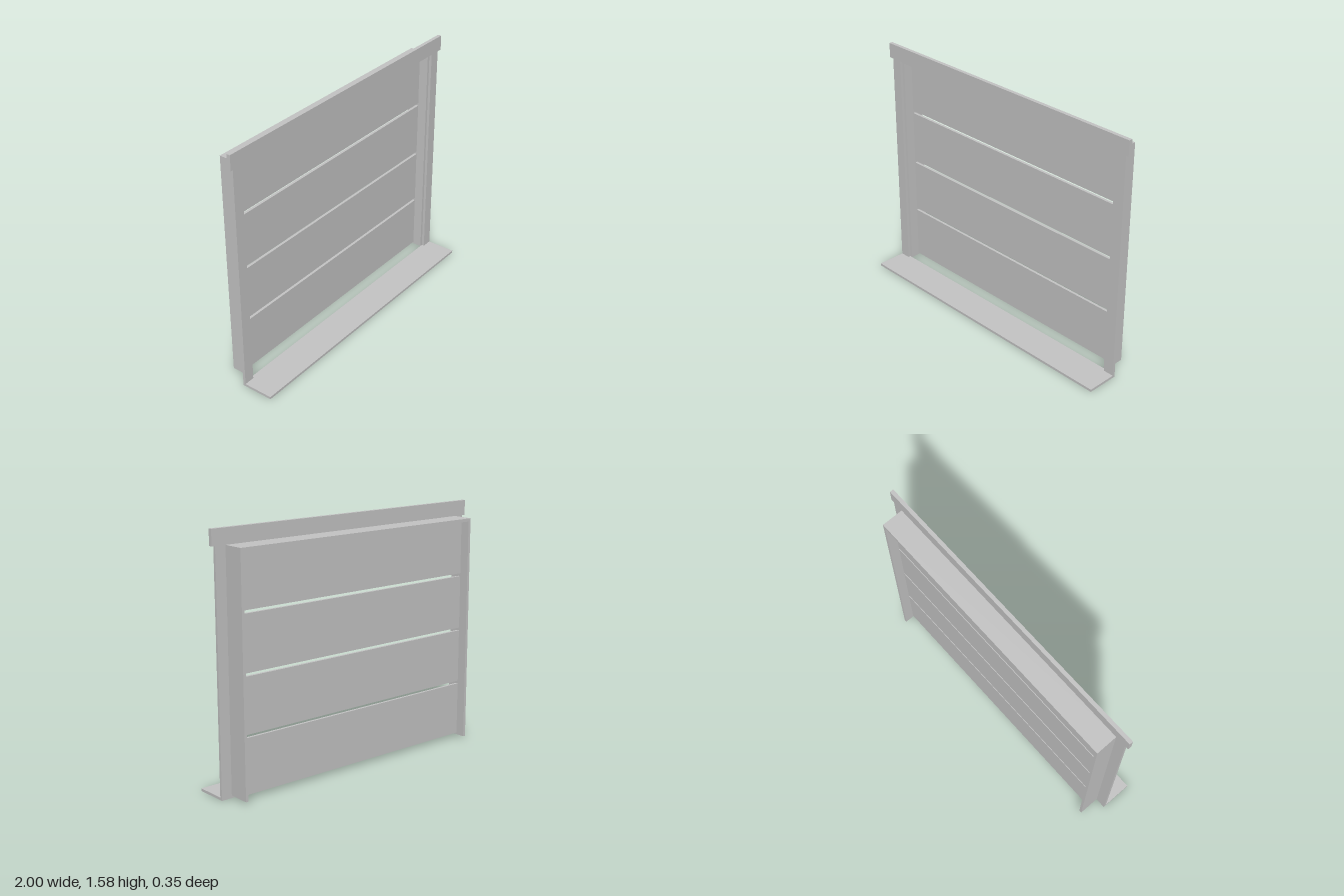
import * as THREE from 'three';

export function createModel() {
  const model = new THREE.Group();
  model.name = 'panelledFrame';
  const grey = new THREE.MeshStandardMaterial({ color: 0xc5c5c5 });
  grey.name = 'lightGrey';

  // box given by its extents on each axis
  function slab(name, x0, x1, y0, y1, z0, z1) {
    const mesh = new THREE.Mesh(new THREE.BoxGeometry(x1 - x0, y1 - y0, z1 - z0), grey);
    mesh.position.set((x0 + x1) / 2, (y0 + y1) / 2, (z0 + z1) / 2);
    mesh.name = name;
    model.add(mesh);
  }

  const sillTop = 0.016, frameTop = 1.483;
  const wallZ = -0.035, backZ = -0.175;
  const inner = 0.89, outer = 0.908, trimEdge = 0.977;

  // sill projecting forward and header board across the top
  slab('sill', -trimEdge, trimEdge, 0, sillTop, wallZ, 0.176);
  slab('header', -1, 1, frameTop, 1.58, wallZ, -0.011);

  // deep frame lining the opening
  slab('headJamb', -inner, inner, 1.463, frameTop, backZ, wallZ);
  for (const [side, s] of [['left', 1], ['right', -1]]) {
    const span = (a, b) => (s > 0 ? [a, b] : [-b, -a]);
    slab(side + 'Jamb', ...span(inner, outer), sillTop, frameTop, backZ, wallZ);
    slab(side + 'Trim', ...span(outer, trimEdge), sillTop, frameTop, wallZ, -0.018);
  }

  // four horizontal panels with narrow gaps
  for (let i = 0; i < 4; i++) {
    const y = 0.027 + i * 0.3637;
    slab('panel' + (i + 1), -inner, inner, y, y + 0.345, -0.113, -0.096);
  }
  return model;
}
